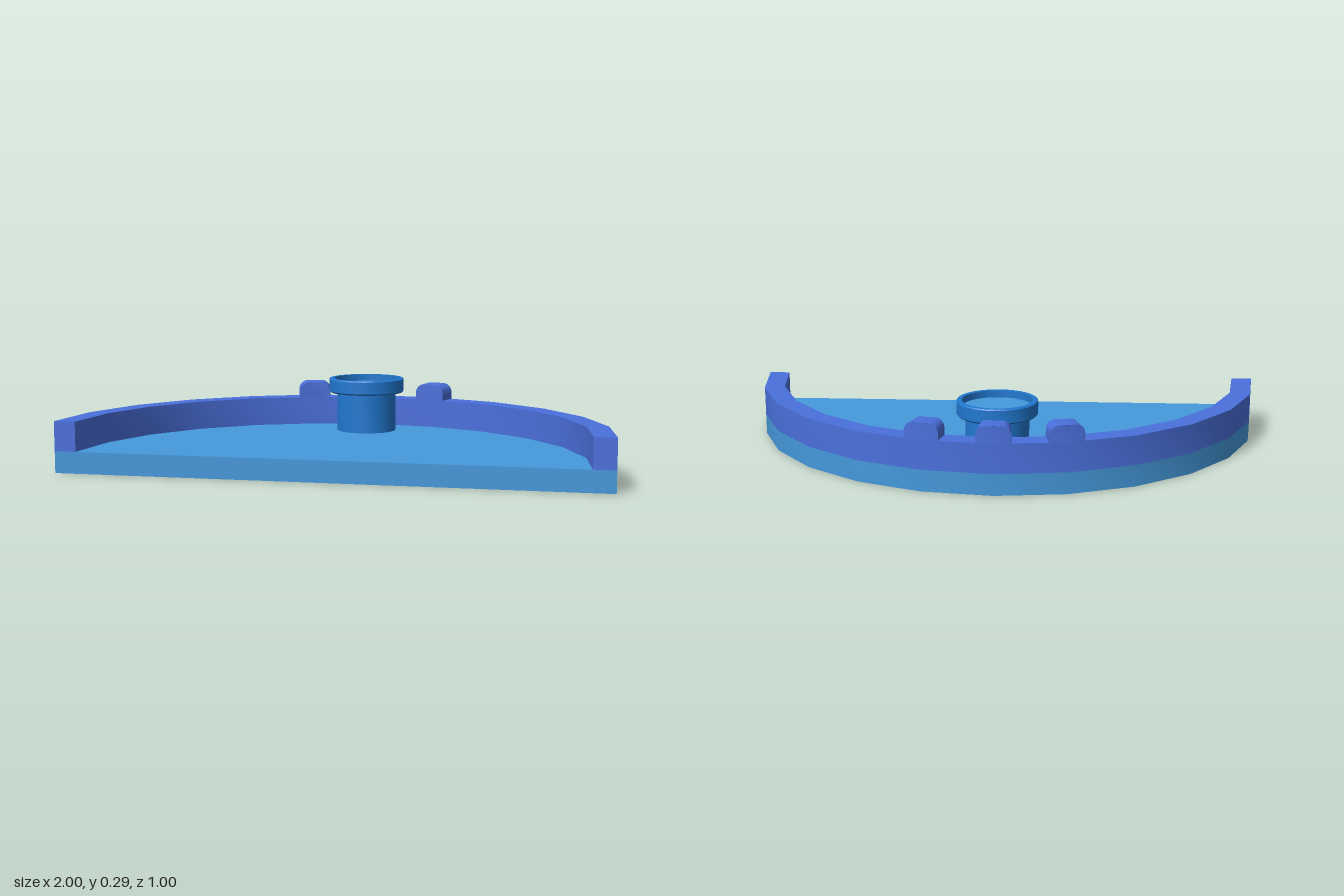
import * as THREE from 'three';
import { toCreasedNormals } from 'three/addons/utils/BufferGeometryUtils.js';

const CENTER_Z = 0.5, OUTER = 1, INNER = 0.92, STEPS = 12;
const BASE_TOP = 0.08, RIM_TOP = 0.19, BUMP_TOP = 0.252;

// Half-polygon arc from right to left, in plan (y points to the back)
function arc(radius) {
  return Array.from({ length: STEPS + 1 }, (_, i) => {
    const a = (i / STEPS) * Math.PI;
    return new THREE.Vector2(Math.cos(a) * radius, Math.sin(a) * radius - CENTER_Z);
  });
}

// Flat plan extruded upwards between two heights
function slab(points, bottom, top) {
  const geo = new THREE.ExtrudeGeometry(new THREE.Shape(points), { depth: top - bottom, bevelEnabled: false });
  geo.rotateX(-Math.PI / 2);
  geo.translate(0, bottom, 0);
  return toCreasedNormals(geo, 0.6);
}

// Rounded bump, bent to follow the faceted rim around one of its corners
function bumpGeometry(corner) {
  const w = 0.0646, r = 0.036, h = BUMP_TOP;
  const shape = new THREE.Shape();
  shape.moveTo(0, RIM_TOP);
  shape.lineTo(w, RIM_TOP);
  shape.lineTo(w, h - r);
  shape.absarc(w - r, h - r, r, 0, Math.PI / 2, false);
  shape.lineTo(0, h);
  shape.lineTo(r - w, h);
  shape.absarc(r - w, h - r, r, Math.PI / 2, Math.PI, false);
  shape.lineTo(-w, RIM_TOP);
  const geo = new THREE.ExtrudeGeometry(shape, { depth: 1, bevelEnabled: false, curveSegments: 6 });
  const pos = geo.attributes.position;
  const half = Math.PI / STEPS / 2;
  for (let i = 0; i < pos.count; i++) {
    const u = pos.getX(i);
    const facet = Math.cos(half) / Math.cos(half - Math.abs(u));
    const radius = THREE.MathUtils.lerp(OUTER, INNER, pos.getZ(i)) * facet;
    pos.setXYZ(i, Math.sin(corner + u) * radius, pos.getY(i), CENTER_Z - Math.cos(corner + u) * radius);
  }
  return toCreasedNormals(geo, 0.6);
}

export function createModel() {
  const group = new THREE.Group();
  const material = (name, color) => {
    const m = new THREE.MeshStandardMaterial({ color });
    m.name = name;
    return m;
  };
  const lightBlue = material('lightBlue', 0x4599dc);
  const rimBlue = material('rimBlue', 0x4a70dc);
  const knobBlue = material('knobBlue', 0x2178d0);
  const add = (name, geo, mat) => {
    const mesh = new THREE.Mesh(geo, mat);
    mesh.name = name;
    group.add(mesh);
    return mesh;
  };

  // Half-round base and raised rim
  add('base', slab(arc(OUTER), 0, BASE_TOP), lightBlue);
  add('rim', slab([...arc(OUTER), ...arc(INNER).reverse()], BASE_TOP, RIM_TOP), rimBlue);

  // Three bumps on the back of the rim
  for (const [name, k] of [['rightBump', -1], ['middleBump', 0], ['leftBump', 1]]) {
    add(name, bumpGeometry((k * Math.PI) / STEPS), rimBlue);
  }

  // Stemmed knob with a hollow top
  const profile = [
    [0.116, BASE_TOP], [0.116, 0.232], [0.142, 0.232], [0.148, 0.238],
    [0.148, 0.284], [0.145, 0.288], [0.128, 0.288], [0.128, 0.262],
  ].map(([x, y]) => new THREE.Vector2(x, y));
  const knob = add('knob', toCreasedNormals(new THREE.LatheGeometry(profile, 32), 0.6), knobBlue);
  const floor = add('knobFloor', new THREE.CircleGeometry(0.128, 32).rotateX(-Math.PI / 2), lightBlue);
  knob.position.z = -0.265;
  floor.position.set(0, 0.262, -0.265);

  return group;
}
